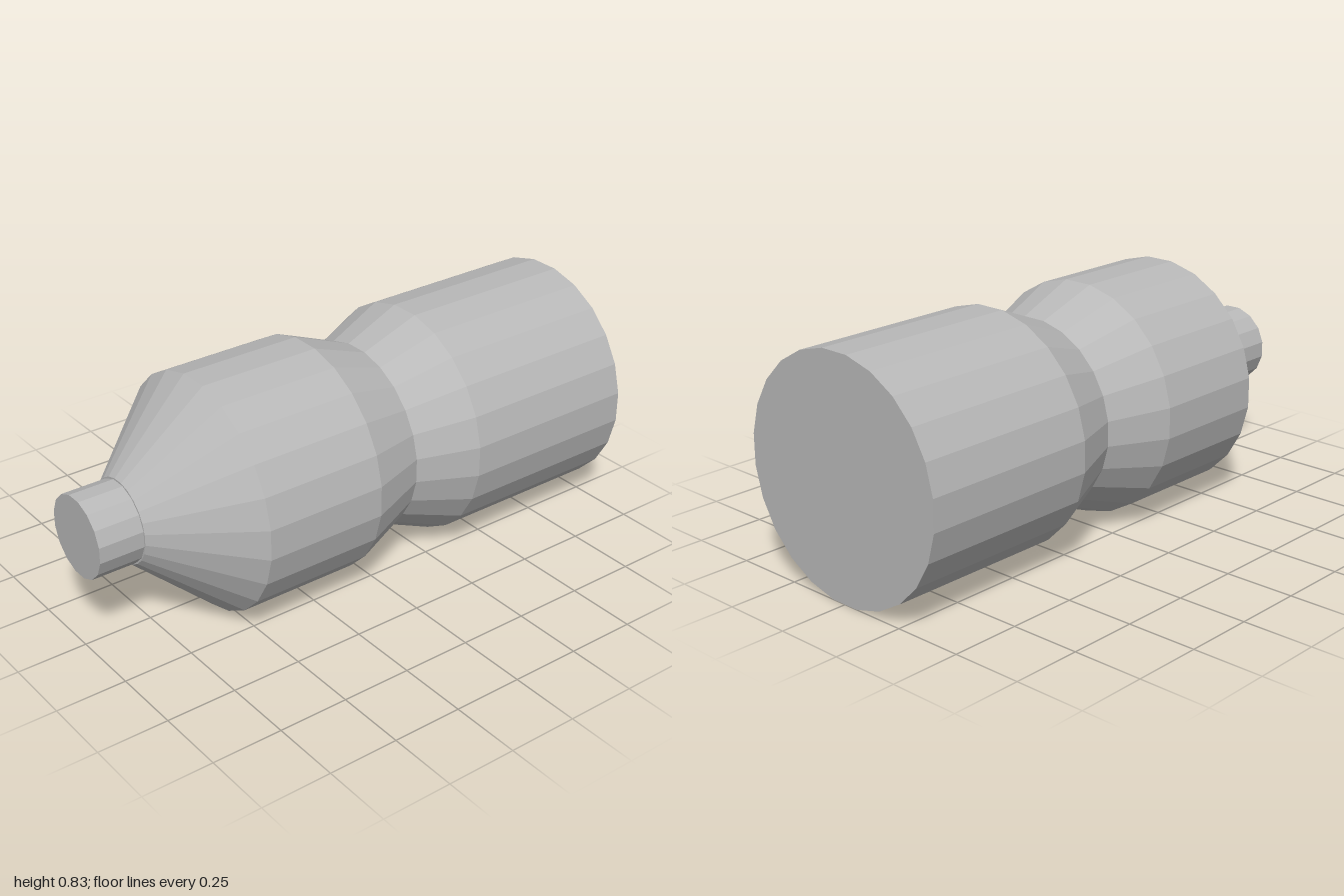
import * as THREE from 'three';

const SIDES = 24;
const AXIS_Y = 0.418;

export function createModel() {
  const model = new THREE.Group();
  model.name = 'canister';
  const grey = new THREE.MeshStandardMaterial({ color: 0xb8b8b8, flatShading: true });
  grey.name = 'plain grey';

  // One straight or tapered section lying along z, with flats at top and bottom
  function section(name, z0, r0, z1, r1, sides = SIDES, open = true) {
    const g = new THREE.CylinderGeometry(r1, r0, z1 - z0, sides, 1, open, Math.PI / sides);
    g.rotateX(Math.PI / 2);
    g.translate(0, AXIS_Y, (z0 + z1) / 2);
    const mesh = new THREE.Mesh(g, grey);
    mesh.name = name;
    model.add(mesh);
  }

  const R = 0.421, NECK = 0.336;
  // Rear drum with its closed back, then the pinched waist
  section('rearDrum', -1, R, -0.335, R, SIDES, false);
  section('rearWaist', -0.335, R, -0.125, NECK);
  section('frontWaist', -0.125, NECK, 0.095, R);
  // Front drum, tapered shoulder and nozzle
  section('frontDrum', 0.095, R, 0.54, R);
  section('shoulder', 0.54, R, 0.838, 0.15, SIDES, false);
  section('nozzle', 0.83, 0.145, 1, 0.145, 16, false);
  return model;
}
